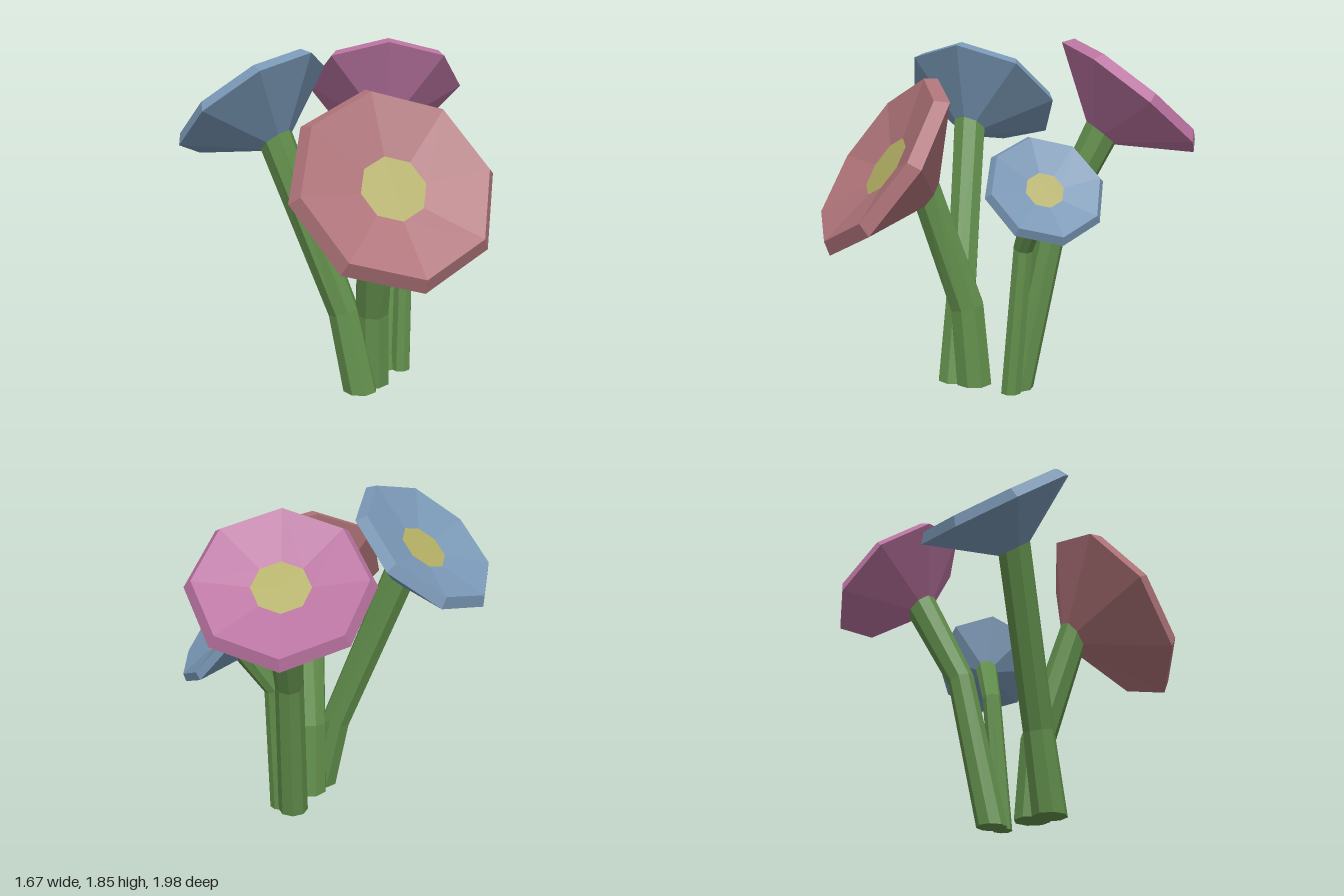
import * as THREE from 'three';

const UP = new THREE.Vector3(0, 1, 0);
const SIDES = 8;

// size: rim radius, face: facing direction, twist: turn of the octagon about its axis,
// stem: base, bend and neck points, thick: stem radius at those points
const FLOWERS = [
  { name: 'pinkFlower', color: 0xb973a0, size: 0.455, face: [0, 0.778, -0.628], twist: 0,
    stem: [[0.27, 0, -0.065], [0.27, 0.87, -0.245], [0.283, 1.37, -0.495]], thick: [0.085, 0.077, 0.097] },
  { name: 'redFlower', color: 0xae7379, size: 0.54, face: [0.24, 0.57, 0.78], twist: 0.375,
    stem: [[0.175, 0, 0.165], [0.17, 0.43, 0.2], [0.183, 1.05, 0.41]], thick: [0.1, 0.095, 0.105] },
  { name: 'largeBlueFlower', color: 0x7896b4, size: 0.45, face: [-0.53, 0.77, -0.35], twist: 0.28,
    stem: [[0.105, 0, 0.265], [0.015, 0.44, 0.225], [-0.335, 1.36, 0.15]], thick: [0.095, 0.085, 0.097] },
  { name: 'smallBlueFlower', color: 0x7896b4, size: 0.308, face: [0.78, 0.61, -0.12], twist: 0.27,
    stem: [[0.35, 0, -0.02], [0.365, 0.78, -0.08], [0.517, 1.03, -0.135]], thick: [0.056, 0.053, 0.065] },
];

const flat = (color) => new THREE.MeshStandardMaterial({ color, flatShading: true });

function part(name, geometry, color) {
  const mesh = new THREE.Mesh(geometry, flat(color));
  mesh.name = name;
  return mesh;
}

// Rotation taking the y axis to a direction, after a turn about y
function aim(direction, twist) {
  return new THREE.Quaternion().setFromUnitVectors(UP, direction)
    .multiply(new THREE.Quaternion().setFromAxisAngle(UP, twist));
}

// Octagonal stem: each ring of a cylinder is moved to its point on the bent path
function stemGeometry(points, radii, face, twist) {
  const lower = points[1].clone().sub(points[0]).normalize();
  const upper = points[2].clone().sub(points[1]).normalize();
  const turns = [UP, lower.add(upper).normalize(), face].map((d) => aim(d, twist));
  const geometry = new THREE.CylinderGeometry(1, 1, 1, SIDES, 2);
  const pos = geometry.attributes.position;
  const v = new THREE.Vector3();
  for (let i = 0; i < pos.count; i++) {
    const ring = Math.round(pos.getY(i) * 2 + 1);
    v.set(pos.getX(i), 0, pos.getZ(i)).multiplyScalar(radii[ring])
      .applyQuaternion(turns[ring]).add(points[ring]);
    pos.setXYZ(i, v.x, v.y, v.z);
  }
  geometry.computeVertexNormals();
  return geometry;
}

// Flower head: funnel, bevelled rim and shallow dished face, in units of the rim radius
function blossomGeometry(size, neck) {
  const profile = [[neck / size, 0], [1, 0.51], [0.915, 0.63], [0.32, 0.5]];
  return new THREE.LatheGeometry(
    profile.map(([r, y]) => new THREE.Vector2(r * size, y * size)), SIDES);
}

function makeFlower({ name, color, size, face, twist, stem, thick }) {
  const flower = new THREE.Group();
  flower.name = name;
  const direction = new THREE.Vector3(...face).normalize();
  const points = stem.map((p) => new THREE.Vector3(...p));
  flower.add(part('stem', stemGeometry(points, thick, direction, twist), 0x628f4c));

  const head = new THREE.Group();
  head.name = 'flowerHead';
  head.position.copy(points[2]);
  head.quaternion.copy(aim(direction, twist));
  head.add(part('petals', blossomGeometry(size, thick[2]), color));

  // Flat yellow centre closing the dish
  const centre = part('flowerCentre',
    new THREE.CircleGeometry(0.32 * size, SIDES).rotateX(-Math.PI / 2), 0xb0ac62);
  centre.position.y = 0.5 * size;
  head.add(centre);
  flower.add(head);
  return flower;
}

export function createModel() {
  const model = new THREE.Group();
  model.name = 'flowerBunch';
  FLOWERS.forEach((spec) => model.add(makeFlower(spec)));
  return model;
}
